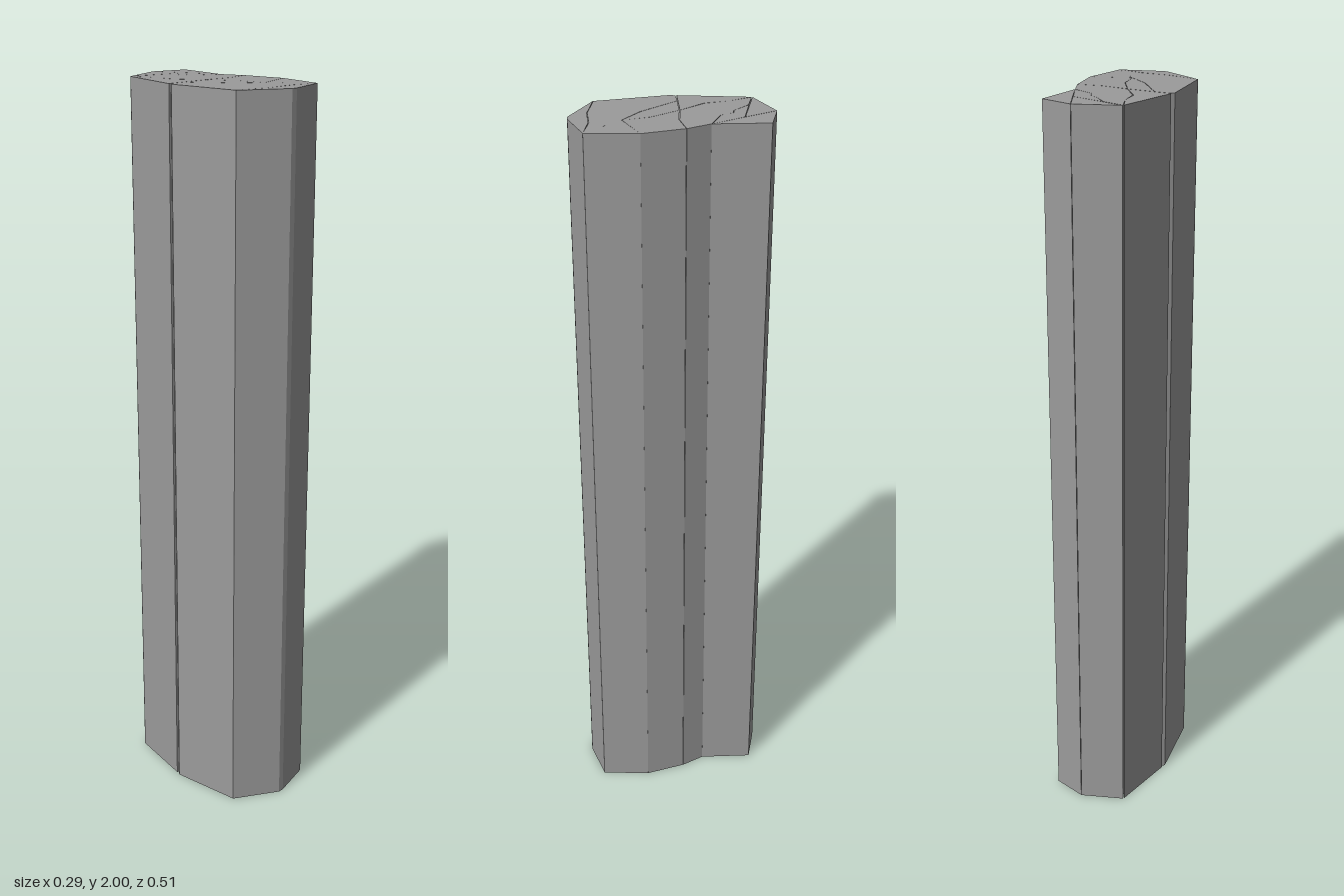
import * as THREE from 'three';

const HEIGHT = 2;

// Plan outline of each shard as [x, z] corners
const shards = {
  backShard: [[-0.105, -0.213], [0.01, -0.254], [0.05, -0.17]],
  backLeftShard: [[0.011, -0.254], [0.103, -0.227], [0.093, -0.083]],
  innerBackShard: [[-0.043, -0.194], [0.05, -0.169], [0.092, -0.085], [0.03, -0.114], [0.014, -0.148], [-0.003, -0.151]],
  upperCoreShard: [[-0.105, -0.211], [-0.044, -0.193], [-0.003, -0.15], [0.014, -0.147], [0.03, -0.113], [0.093, -0.083],
    [0.121, -0.021], [0.055, -0.012], [-0.02, -0.022], [-0.068, -0.088], [-0.08, -0.15]],
  rightShard: [[-0.107, -0.21], [-0.08, -0.15], [-0.07, -0.087], [-0.021, -0.022], [-0.142, -0.028]],
  middleShard: [[-0.095, -0.024], [-0.02, -0.02], [0.025, 0.055], [0.04, 0.124], [-0.02, 0.073]],
  leftShard: [[-0.019, -0.02], [0.055, -0.011], [0.121, -0.02], [0.145, 0.09], [0.04, 0.124], [0.026, 0.055]],
  frontLeftShard: [[0.04, 0.125], [0.145, 0.09], [0.127, 0.222]],
  frontRightShard: [[-0.146, -0.015], [-0.138, -0.025], [-0.096, -0.024], [-0.021, 0.074], [0.04, 0.125],
    [0.127, 0.222], [0.053, 0.203], [-0.025, 0.202], [-0.118, 0.181]],
  frontShard: [[-0.118, 0.182], [-0.025, 0.203], [0.053, 0.205], [0.127, 0.222], [0.018, 0.252], [0.002, 0.252]],
};

// Hollow upright prism with a lid and an open foot, drawn in by a hair
function prism(points) {
  const cx = points.reduce((s, p) => s + p[0], 0) / points.length;
  const cz = points.reduce((s, p) => s + p[1], 0) / points.length;
  const k = 0.999;
  const shape = new THREE.Shape(points.map(([x, z]) =>
    new THREE.Vector2(cx + (x - cx) * k, -(cz + (z - cz) * k))));
  const geometry = new THREE.ExtrudeGeometry(shape, { depth: HEIGHT, bevelEnabled: false });
  // The first half of the cap vertices is the bottom cap: drop it
  const skip = geometry.groups[0].count / 2;
  for (const [key, attribute] of Object.entries(geometry.attributes)) {
    const rest = attribute.array.slice(skip * attribute.itemSize);
    geometry.setAttribute(key, new THREE.BufferAttribute(rest, attribute.itemSize));
  }
  geometry.clearGroups();
  return geometry.rotateX(-Math.PI / 2);
}

export function createModel() {
  const group = new THREE.Group();
  group.name = 'splitPost';
  const material = new THREE.MeshStandardMaterial({ color: 0x9b9b9b, flatShading: true, side: THREE.DoubleSide });
  for (const [name, points] of Object.entries(shards)) {
    const mesh = new THREE.Mesh(prism(points), material);
    mesh.name = name;
    group.add(mesh);
  }
  return group;
}
